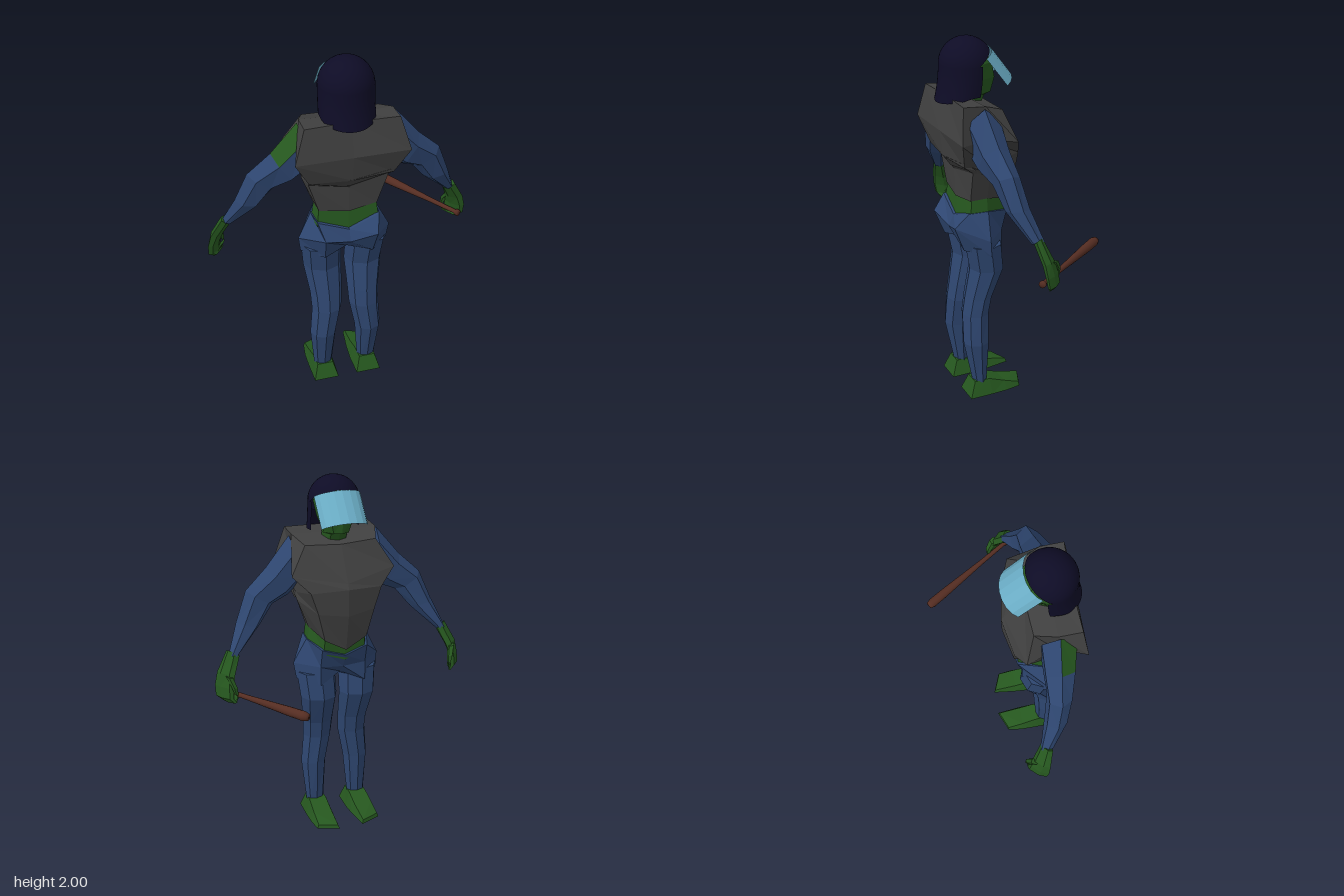
import * as THREE from 'three';

const mat = (name, color) => {
  const m = new THREE.MeshStandardMaterial({ color });
  m.name = name;
  return m;
};

// Closed faceted skin through rings of equal length; quads listed in alt ("ring,segment") use material 1
function loft(rings, alt = []) {
  const n = rings[0].length, main = [], second = [];
  const centre = r => r.reduce((a, p) => a.map((v, i) => v + p[i] / n), [0, 0, 0]);
  for (let i = 0; i < rings.length - 1; i++) {
    for (let k = 0; k < n; k++) {
      const j = (k + 1) % n, a = rings[i][k], b = rings[i][j], c = rings[i + 1][j], d = rings[i + 1][k];
      (alt.includes(`${i},${k}`) ? second : main).push([a, b, c], [a, c, d]);
    }
  }
  const first = rings[0], last = rings[rings.length - 1], c0 = centre(first), c1 = centre(last);
  for (let k = 0; k < n; k++) {
    const j = (k + 1) % n;
    main.push([c0, first[j], first[k]], [c1, last[k], last[j]]);
  }
  // Turn the faces outward whichever way the rings run
  let tris = [...main, ...second], volume = 0;
  const v = p => new THREE.Vector3(...p).sub(new THREE.Vector3(...c0));
  for (const [a, b, c] of tris) volume += v(a).dot(v(b).cross(v(c)));
  if (volume < 0) tris = tris.map(([a, b, c]) => [a, c, b]);
  const g = new THREE.BufferGeometry();
  g.setAttribute('position', new THREE.Float32BufferAttribute(tris.flat(2), 3));
  g.computeVertexNormals();
  g.addGroup(0, main.length * 3, 0);
  if (second.length) g.addGroup(main.length * 3, second.length * 3, 1);
  return g;
}

// Half ring from back centre round the side to front centre, mirrored to a full ring
const symmetric = half => [...half, ...half.slice(1, -1).reverse().map(([x, y, z]) => [-x, y, z])];

// Limb from rings [outer x, outer y, inner x, inner y, z, half depth]; s mirrors, (vx, vz) is the depth direction
function limb(rows, s, n = 6, alt = [], vx = 0, vz = 1) {
  return loft(rows.map(([xo, yo, xi, yi, z, r]) => Array.from({ length: n }, (_, k) => {
    const a = (k / n) * Math.PI * 2, c = Math.cos(a) / 2, d = Math.sin(a) * r;
    return [s * ((xo + xi) / 2 + (xo - xi) * c + vx * d), (yo + yi) / 2 + (yo - yi) * c, z + vz * d];
  })), alt);
}

export function createModel() {
  const model = new THREE.Group();
  model.name = 'guard';
  const navy = mat('helmet navy', 0x0e0c26), grey = mat('vest grey', 0x404040);
  const blue = mat('uniform blue', 0x2e4670), green = mat('skin green', 0x26581f);
  const glass = mat('visor blue', 0x6cafc8), wood = mat('bat brown', 0x552d22);
  navy.side = glass.side = THREE.DoubleSide;
  const add = (name, geometry, material) => {
    const m = new THREE.Mesh(geometry, material);
    m.name = name;
    model.add(m);
    return m;
  };

  // Torso
  const body = halves => loft(halves.map(symmetric));
  add('vest', body([
    [[0, 1.71, .33], [.24, 1.71, .34], [.24, 1.70, .22], [.20, 1.66, .11], [0, 1.65, .10]],
    [[0, 1.53, .37], [.295, 1.53, .37], [.235, 1.52, .22], [.29, 1.51, .065], [0, 1.46, 0]],
    [[0, 1.385, .35], [.22, 1.39, .33], [.225, 1.38, .20], [.20, 1.42, .02], [0, 1.43, -.015]],
    [[0, 1.31, .29], [.21, 1.35, .28], [.225, 1.34, .19], [.16, 1.30, .02], [0, 1.28, -.01]],
    [[0, 1.155, .285], [.155, 1.175, .27], [.165, 1.18, .18], [.12, 1.14, .035], [0, 1.075, .03]],
  ]), grey);
  // Skirt at the back of the vest's upper plate
  add('vestBackSkirt', body([
    [[0, 1.39, .352], [.21, 1.41, .335], [.235, 1.37, .25]],
    [[0, 1.33, .31], [.20, 1.365, .30], [.225, 1.34, .23]],
  ]), grey);
  add('waist', body([
    [[0, 1.22, .27], [.15, 1.22, .26], [.155, 1.22, .18], [.11, 1.20, .045], [0, 1.20, .04]],
    [[0, 1.03, .29], [.165, 1.08, .275], [.175, 1.08, .18], [.12, 1.05, .06], [0, 1.01, .05]],
  ]), green);
  add('hips', body([
    [[0, 1.05, .30], [.165, 1.11, .285], [.178, 1.11, .18], [.13, 1.08, .05], [0, 1.04, .04]],
    [[0, .99, .33], [.14, 1.03, .355], [.25, .97, .20], [.13, .97, .08], [0, .96, .08]],
    [[0, .91, .25], [.13, .89, .30], [.238, .88, .19], [.13, .86, .08], [0, .91, .13]],
  ]), blue);

  for (const s of [-1, 1]) {
    const side = s > 0 ? 'left' : 'right';
    // Sleeve, torn at the back of one shoulder
    add(side + 'Sleeve', limb([
      [.25, 1.69, .20, 1.42, .23, .10],
      [.385, 1.53, .27, 1.365, .22, .085],
      [.505, 1.42, .36, 1.33, .205, .065],
      [.57, 1.26, .44, 1.23, .18, .06],
      [.632, 1.11, .588, 1.09, .12, .035],
    ], s, 6, s < 0 ? ['0,0'] : []), [blue, green]);
    add(side + 'Hand', limb([
      [.635, 1.13, .585, 1.09, .12, .035],
      [.69, 1.02, .63, 1.00, .09, .05],
      [.70, .95, .65, .94, .075, .06],
      [.70, .89, .655, .885, .065, .058],
      [.665, .86, .64, .87, .055, .05],
    ], s, 6, [], .55, .83), green);
    add(side + 'Fingertips', limb([
      [.69, .885, .65, .865, .06, .045],
      [.645, .865, .64, .90, .045, .04],
      [.625, .90, .64, .91, .045, .035],
    ], s, 6, [], .55, .83), green);
    add(side + 'Thumb', limb([
      [.67, 1.01, .63, 1.00, .055, .025],
      [.65, .96, .615, .95, .025, .018],
      [.635, .915, .615, .91, .018, .012],
    ], s, 5), green);

    // Leg
    add(side + 'Leg', limb([
      [.235, .92, .01, .92, .19, .10],
      [.22, .77, .008, .77, .168, .095],
      [.195, .60, .016, .60, .215, .076],
      [.19, .50, .022, .50, .232, .075],
      [.203, .33, .055, .33, .238, .074],
      [.18, .08, .075, .08, .222, .04],
    ], s, 8), blue);
    // Foot rings: bottom z, top z, inner x, outer x, height, inset; toes slant back to the outside
    add(side + 'Foot', loft([
      [.30, .265, .055, .195, .09, .025],
      [.17, .18, .05, .20, .09, .025],
      [.08, .09, .055, .20, .055, .02],
      [-.05, -.045, .07, .19, .022, .008],
    ].map(([zb, zt, xi, xo, y, e]) => [[xi, 0, zb], [xo, 0, zb], [xo - e, y, zt], [xi + e, y, zt]]
      .map(([x, h, z]) => [s * x, h, z < 0 ? z + (x - xi) * .4 : z]))), green);
  }

  // Head
  const skull = (y, w, front, back) => symmetric([[0, y, back], [w * .7, y, back - .02],
    [w, y, (front + back) / 2], [w * .6, y, front + .015], [0, y, front]]);
  add('head', loft([skull(1.62, .075, .16, .28), skull(1.70, .075, .12, .28), skull(1.71, .07, .085, .28),
    skull(1.79, .105, .072, .31), skull(1.87, .12, .09, .32), skull(1.94, .08, .13, .29)]), green);

  // Helmet dome tipped back over a neck guard that is open at the face
  const dome = add('helmetDome', new THREE.SphereGeometry(.14, 28, 12, 0, Math.PI * 2, 0, Math.PI / 2), navy);
  dome.position.set(0, 1.86, .215);
  dome.rotation.x = .6;
  const guard = new THREE.CylinderGeometry(.14, .14, 1, 24, 4, true, -1.8, 3.6);
  const gp = guard.attributes.position;
  for (let i = 0; i < gp.count; i++) {
    const t = .5 - gp.getY(i), z = gp.getZ(i);
    const top = 1.87, low = 1.715 - Math.max(0, z) * .25;
    gp.setXYZ(i, gp.getX(i), top + (low - top) * t, .215 + z + t * t * (z > 0 ? .025 : .015));
  }
  guard.computeVertexNormals();
  add('helmetNeckGuard', guard, navy);

  // Curved visor raised in front of the face
  const visor = new THREE.PlaneGeometry(2, 1, 8, 1).toNonIndexed();
  const vp = visor.attributes.position;
  for (let i = 0; i < vp.count; i++) {
    const a = vp.getX(i) * 1.35, t = .5 - vp.getY(i), b = 1 - Math.cos(a);
    vp.setXYZ(i, .133 * Math.sin(a), 1.94 - .15 * t - .047 * b, .092 - .115 * t + .088 * b);
  }
  visor.computeVertexNormals();
  add('visor', visor, glass);

  // Bat held level in the left hand
  const profile = [[0, 0], [.018, 0], [.018, .015], [.012, .025], [.014, .2], [.025, .48], [.026, .57], [.02, .595], [0, .6]];
  const bat = add('bat', new THREE.LatheGeometry(profile.map(p => new THREE.Vector2(...p)), 12), wood);
  bat.position.set(.68, .908, .135);
  bat.quaternion.setFromUnitVectors(new THREE.Vector3(0, 1, 0), new THREE.Vector3(-.54, 0, -.84).normalize());

  return model;
}
